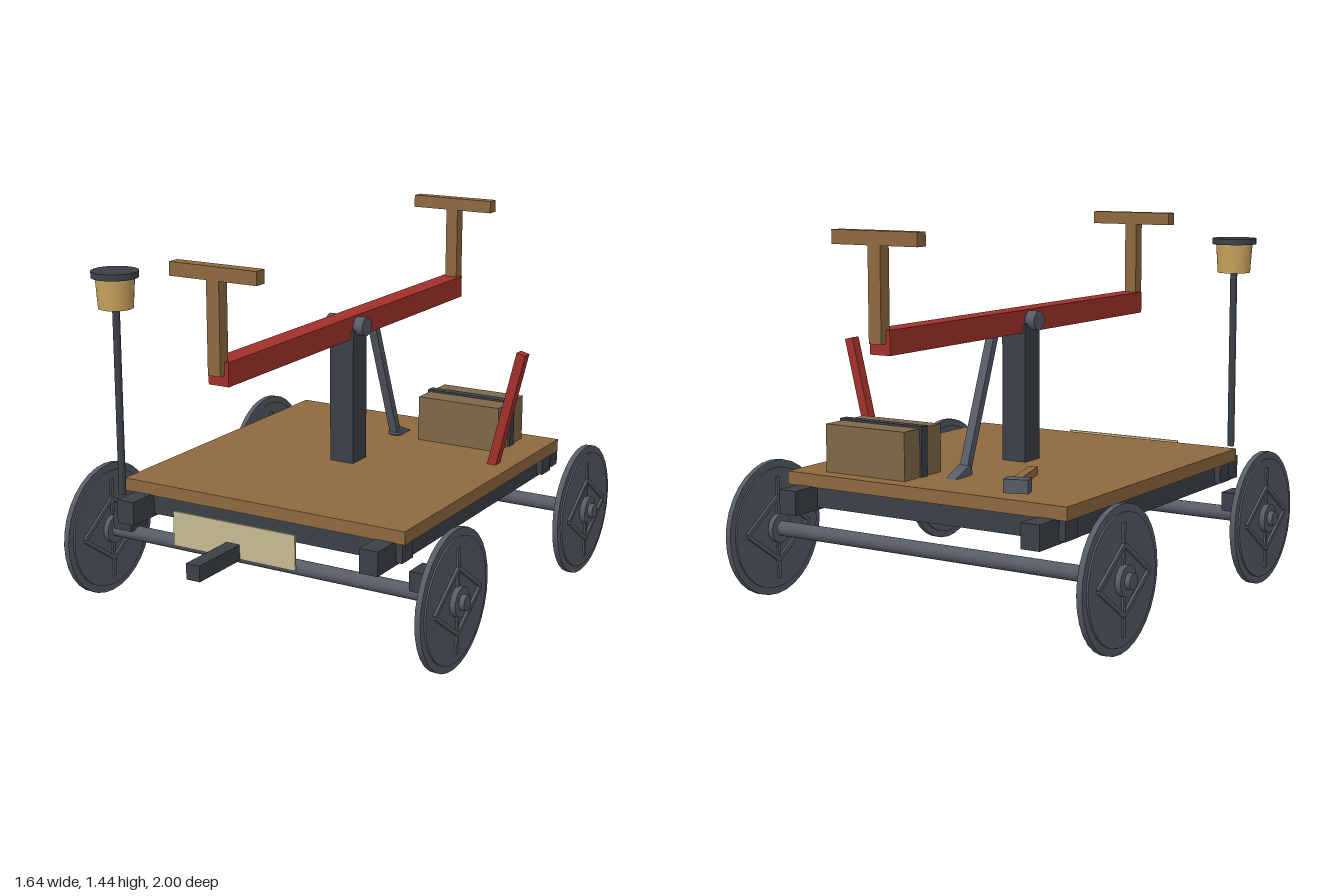
import * as THREE from 'three';

const mat = (name, color) => {
  const m = new THREE.MeshStandardMaterial({ color });
  m.name = name;
  return m;
};

export function createModel() {
  const wood = mat('wood', 0x8f693f);
  const iron = mat('dark iron', 0x3b4147);
  const steel = mat('steel', 0x565c66);
  const red = mat('red paint', 0xa3312b);
  const brass = mat('brass', 0xc9a45e);
  const boxWood = mat('box wood', 0x7f6847);
  const cream = mat('cream board', 0xc7ba92);

  const model = new THREE.Group();
  model.name = 'railHandcar';

  const add = (name, geo, material, x, y, z, parent = model) => {
    const mesh = new THREE.Mesh(geo, material);
    mesh.name = name;
    mesh.position.set(x, y, z);
    parent.add(mesh);
    return mesh;
  };
  const box = (name, material, w, h, d, x, y, z, parent) =>
    add(name, new THREE.BoxGeometry(w, h, d), material, x, y, z, parent);
  const cyl = (name, material, rTop, rBottom, h, x, y, z, parent) =>
    add(name, new THREE.CylinderGeometry(rTop, rBottom, h, 32), material, x, y, z, parent);
  // cylinder lying along x
  const xCyl = (name, material, r, len, x, y, z, parent) => {
    const m = cyl(name, material, r, r, len, x, y, z, parent);
    m.rotation.z = Math.PI / 2;
    return m;
  };
  // square bar between two points in the plane x = const
  const barYZ = (name, material, w, t, x, [y0, z0], [y1, z1], parent) => {
    const len = Math.hypot(y1 - y0, z1 - z0);
    const m = box(name, material, w, len, t, x, (y0 + y1) / 2, (z0 + z1) / 2, parent);
    m.rotation.x = Math.atan2(z1 - z0, y1 - y0);
    return m;
  };

  // deck and frame
  box('deck', wood, 1.22, 0.05, 1.325, 0, 0.49, -0.082);
  for (const s of [-1, 1]) box('sideRail', iron, 0.075, 0.092, 1.54, s * 0.527, 0.421, -0.078);
  for (const z of [0.52, -0.68]) box('crossBeam', iron, 1.18, 0.075, 0.08, 0, 0.423, z);

  // wheels and axles
  const axleY = 0.265;
  for (const z of [0.502, -0.655]) {
    xCyl('axle', steel, 0.029, 1.64, 0, axleY, z);
    for (const s of [-1, 1]) {
      const wheel = new THREE.Group();
      wheel.name = 'wheel';
      wheel.position.set(s * 0.76, axleY, z);
      model.add(wheel);
      xCyl('flange', steel, 0.263, 0.022, 0, 0, 0, wheel);
      xCyl('disc', steel, 0.235, 0.036, 0, 0, 0, wheel);
      xCyl('hub', steel, 0.056, 0.08, 0, 0, 0, wheel);
      box('uprightSpoke', steel, 0.05, 0.4, 0.016, 0, 0, 0, wheel);
      for (const a of [-1, 1]) for (const b of [-1, 1])
        barYZ('diamondBar', steel, 0.056, 0.016, 0, [a * 0.125, 0], [0, b * 0.178], wheel);
    }
  }
  for (const s of [-1, 1]) box('axleBox', iron, 0.085, 0.075, 0.1, s * 0.655, 0.322, 0.5);

  // pump post, rocking beam and handles
  box('pumpPost', iron, 0.104, 0.535, 0.104, 0, 0.782, -0.073);
  xCyl('pivotPin', steel, 0.037, 0.166, 0, 1.06, -0.073);
  box('rockingBeam', red, 0.084, 0.088, 1.79, 0, 1.059, -0.075);
  for (const z of [0.822, -0.973]) {
    box('handleUpright', wood, 0.052, 0.34, 0.05, 0, 1.225, z);
    box('handleBar', wood, 0.36, 0.05, 0.05, 0, 1.415, z);
  }

  // connecting rod and crank arm
  barYZ('connectingRod', steel, 0.035, 0.03, 0, [1.05, -0.26], [0.52, -0.465]);
  barYZ('crankArm', steel, 0.045, 0.04, 0, [0.54, -0.45], [0.45, -0.65]);

  // brake lever
  const lever = box('brakeLever', red, 0.037, 0.475, 0.04, 0.582, 0.743, -0.308);
  lever.rotation.z = -Math.atan2(0.113, 0.46);

  // toolbox with strap
  box('toolbox', boxWood, 0.36, 0.182, 0.23, 0.295, 0.606, -0.566);
  box('toolboxStrap', iron, 0.376, 0.19, 0.038, 0.295, 0.61, -0.566);

  // hammer lying on the deck
  const hammer = new THREE.Group();
  hammer.name = 'hammer';
  hammer.position.set(-0.358, 0.547, -0.66);
  hammer.rotation.y = 0.3;
  model.add(hammer);
  box('hammerHead', steel, 0.09, 0.05, 0.052, 0, 0.002, 0, hammer);
  box('hammerHandle', wood, 0.034, 0.032, 0.3, 0.022, -0.002, 0.15, hammer);

  // signal lamp on its pole
  cyl('lampPole', iron, 0.014, 0.014, 0.72, -0.528, 0.86, 0.704);
  cyl('lampBody', brass, 0.073, 0.065, 0.115, -0.528, 1.27, 0.704);
  cyl('lampCap', iron, 0.088, 0.088, 0.024, -0.528, 1.339, 0.704);

  // front board and drawbar
  box('frontBoard', cream, 0.524, 0.133, 0.009, 0, 0.424, 0.745);
  box('drawbar', iron, 0.057, 0.06, 0.4, 0, 0.383, 0.8);

  return model;
}
